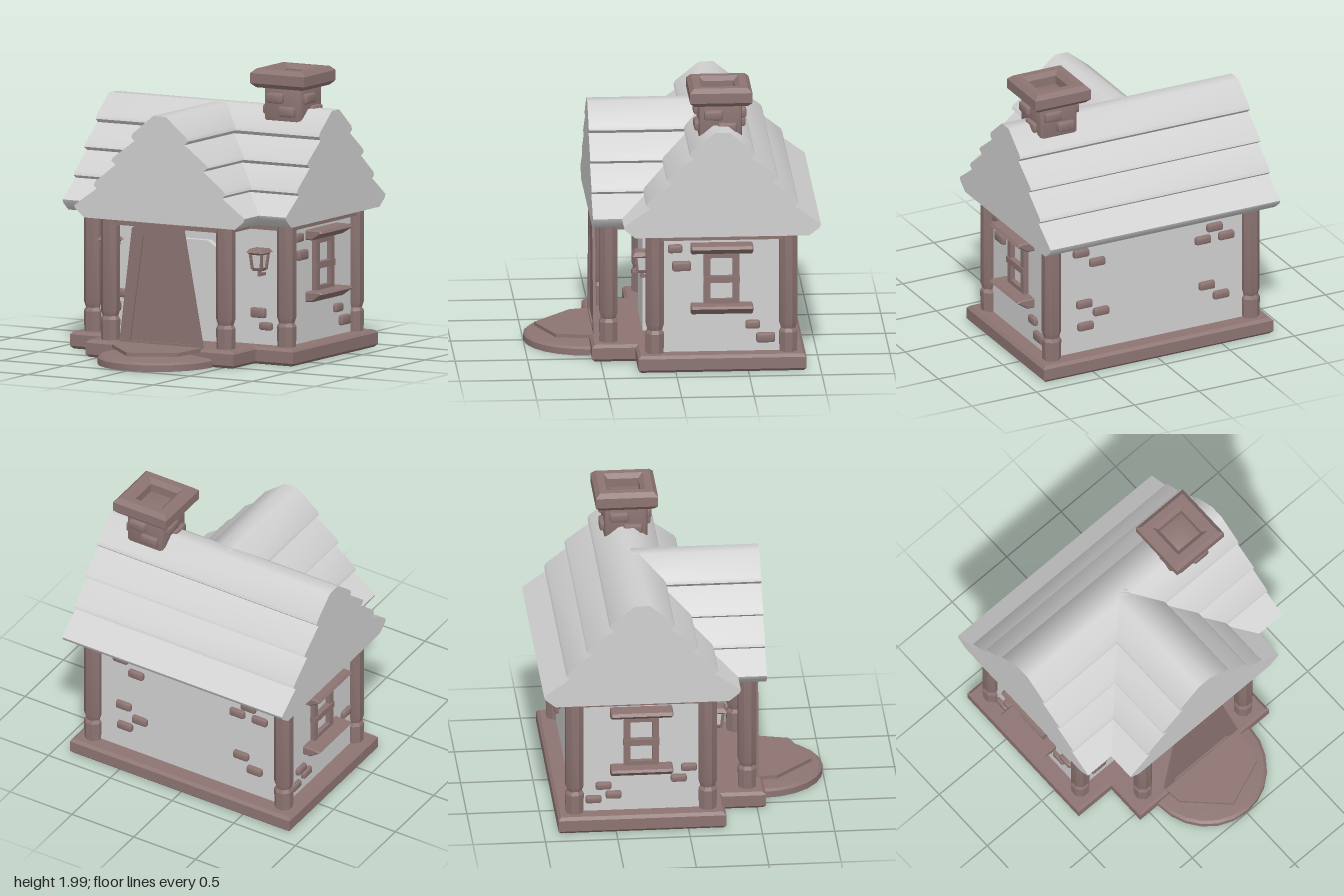
import * as THREE from 'three';
import { toCreasedNormals } from 'three/addons/utils/BufferGeometryUtils.js';
import { RoundedBoxGeometry } from 'three/addons/geometries/RoundedBoxGeometry.js';

export function createModel() {
  const house = new THREE.Group();
  house.name = 'cottage';
  const plaster = new THREE.MeshStandardMaterial({ color: 0xd0d0d0 });
  plaster.name = 'pale grey';
  const wood = new THREE.MeshStandardMaterial({ color: 0x8c7472 });
  wood.name = 'dusty brown';
  const woodSheet = wood;

  const add = (name, geo, mat, x = 0, y = 0, z = 0, parent = house) => {
    const m = new THREE.Mesh(geo, mat);
    m.name = name;
    m.position.set(x, y, z);
    parent.add(m);
    return m;
  };
  const box = (w, h, d) => new THREE.BoxGeometry(w, h, d);
  const soft = (w, h, d, r = 0.015) => toCreasedNormals(new RoundedBoxGeometry(w, h, d, 1, r), 0.5);
  const shape = (pts) => new THREE.Shape(pts.map(([x, y]) => new THREE.Vector2(x, y)));
  const extrude = (s, depth, bevel = 0) => new THREE.ExtrudeGeometry(s, {
    depth: depth - 2 * bevel, bevelEnabled: bevel > 0, bevelSize: bevel,
    bevelThickness: bevel, bevelOffset: -bevel, bevelSegments: 1,
  }).translate(0, 0, bevel);
  // plan shape given as (x, z), extruded upwards
  const slab = (pts, h, bevel = 0) => extrude(shape(pts.map(([x, z]) => [x, -z])), h, bevel).rotateX(-Math.PI / 2);

  // foundation with porch, and half-round step
  add('foundation', slab([[-0.89, -0.9], [-0.89, 0.26], [-0.59, 0.26], [-0.59, 0.56],
    [0.59, 0.56], [0.59, 0.26], [0.89, 0.26], [0.89, -0.9]], 0.12, 0.02), wood);
  const stepProfile = [[0, 0], [0.44, 0], [0.44, 0.045], [0.42, 0.06], [0, 0.1]].map(([r, y]) => new THREE.Vector2(r, y));
  const stepGeo = toCreasedNormals(new THREE.LatheGeometry(stepProfile, 12, -Math.PI / 2, Math.PI), 0.5);
  add('frontStep', stepGeo, wood, 0, 0, 0.56).scale.x = 0.96;

  // walls
  add('walls', box(1.55, 0.86, 0.92), plaster, 0, 0.54, -0.32);

  // stepped shingle roof: one profile for both wings
  const half = [[0.6, 0.97], [0.67, 1.025], [0.68, 1.05], [0.5, 1.18], [0.525, 1.2], [0.515, 1.225],
    [0.35, 1.355], [0.385, 1.38], [0.375, 1.4], [0.2, 1.53], [0.225, 1.555], [0.215, 1.58], [0.05, 1.715]];
  const gable = shape([...half, ...half.map(([x, y]) => [-x, y]).reverse()]);
  const mainRoof = extrude(gable, 1.78).translate(0, 0, -0.89).rotateY(Math.PI / 2);
  add('mainRoof', toCreasedNormals(mainRoof, 0.7), plaster, 0, 0, -0.32);
  add('porchRoof', toCreasedNormals(extrude(gable, 0.88), 0.7), plaster, 0, 0, -0.32);

  // turned posts
  const postProfile = [[0, 0.11], [0.06, 0.11], [0.063, 0.26], [0.05, 0.285], [0.062, 0.325], [0.062, 0.97], [0, 0.97]]
    .map(([r, y]) => new THREE.Vector2(r / Math.cos(Math.PI / 8), y));
  const postGeo = toCreasedNormals(new THREE.LatheGeometry(postProfile, 8).rotateY(Math.PI / 8), 0.3);
  for (const s of [-1, 1]) {
    for (const [x, z] of [[0.77, -0.78], [0.77, 0.14], [0.46, 0.44]]) add('post', postGeo, wood, s * x, 0, z);
    // beams under the eaves
    add('sideBeam', box(0.09, 0.045, 0.92), wood, s * 0.77, 0.948, -0.32);
    add('porchBeam', box(0.09, 0.045, 0.3), wood, s * 0.46, 0.948, 0.29);
  }
  add('backBeam', box(1.54, 0.045, 0.09), wood, 0, 0.948, -0.78);
  add('frontBeam', box(1.54, 0.045, 0.09), wood, 0, 0.948, 0.14);
  add('porchFrontBeam', box(0.92, 0.045, 0.09), wood, 0, 0.948, 0.44);

  // side windows
  const sill = (pts) => extrude(shape(pts), 0.43, 0.008).translate(0, 0, -0.215);
  const lowerSill = sill([[-0.02, 0.4], [0.045, 0.4], [0.125, 0.455], [0.11, 0.47], [-0.02, 0.47]]);
  const upperSill = sill([[-0.02, 0.83], [0.045, 0.83], [0.125, 0.88], [0.11, 0.9], [-0.02, 0.9]]);
  for (const s of [1, -1]) {
    const win = new THREE.Group();
    win.name = s > 0 ? 'leftWindow' : 'rightWindow';
    win.position.set(s * 0.78, 0, -0.32);
    win.rotation.y = s > 0 ? 0 : Math.PI;
    add('lowerSill', lowerSill, wood, 0, 0, 0, win);
    add('upperSill', upperSill, wood, 0, 0, 0, win);
    for (const z of [-0.1, 0.1]) add('windowJamb', box(0.05, 0.38, 0.045), wood, 0.005, 0.65, z, win);
    add('windowBar', box(0.06, 0.045, 0.25), wood, 0.008, 0.642, 0, win);
    for (const y of [0.485, 0.81]) add('windowRail', box(0.05, 0.03, 0.2), wood, 0.005, y, 0, win);
    house.add(win);
  }

  // exposed bricks: [along wall, y, width, height]
  const brick = (x, y, z, turn, w = 0.11, h = 0.055) => {
    add('brick', soft(w, h, 0.05), wood, x, y, z).rotation.y = turn;
  };
  for (const [z, y, w, h] of [[0, 0.86, 0.1, 0.06], [-0.045, 0.735, 0.13, 0.07], [-0.535, 0.31, 0.1, 0.06],
    [-0.625, 0.215, 0.13, 0.07]]) brick(0.78, y, z, Math.PI / 2, w, h);
  for (const [z, y] of [[-0.58, 0.31], [-0.65, 0.21], [-0.51, 0.24], [0.01, 0.43], [-0.06, 0.35]]) {
    brick(-0.78, y, z, Math.PI / 2);
  }
  for (const [x, y] of [[0.545, 0.87], [0.42, 0.78], [0.52, 0.48], [0.39, 0.4], [0.51, 0.31], [-0.4, 0.77],
    [-0.49, 0.85], [-0.58, 0.77], [-0.43, 0.42], [-0.54, 0.33]]) brick(x, y, -0.785, 0, 0.12, 0.06);
  for (const [x, y, w, h] of [[-0.615, 0.31, 0.13, 0.07], [-0.55, 0.4, 0.12, 0.06], [0.55, 0.34, 0.12, 0.07],
    [0.61, 0.25, 0.1, 0.055]]) brick(x, y, 0.145, 0, w, h);

  // lanterns on the front wall
  const frustum = (top, bottom, h) => toCreasedNormals(
    new THREE.CylinderGeometry(top * Math.SQRT1_2, bottom * Math.SQRT1_2, h, 4).rotateY(Math.PI / 4), 0.3);
  for (const s of [-1, 1]) {
    const lamp = new THREE.Group();
    lamp.name = 'lantern';
    lamp.position.set(s * 0.595, 0, 0.215);
    add('lanternCap', frustum(0.1, 0.14, 0.025), wood, 0, 0.785, 0, lamp);
    add('lanternCollar', frustum(0.12, 0.1, 0.015), wood, 0, 0.765, 0, lamp);
    add('lanternGlass', frustum(0.07, 0.05, 0.1), plaster, 0, 0.71, 0, lamp);
    add('lanternFoot', frustum(0.085, 0.07, 0.02), wood, 0, 0.655, 0, lamp);
    add('lanternStem', box(0.02, 0.045, 0.02), wood, 0, 0.627, 0, lamp);
    add('lanternBracket', box(0.02, 0.02, 0.1), wood, 0, 0.615, -0.04, lamp);
    for (const x of [-1, 1]) for (const z of [-1, 1]) {
      const bar = add('lanternBar', box(0.016, 0.11, 0.016), wood, x * 0.04, 0.71, z * 0.04, lamp);
      bar.rotation.set(z * 0.1, 0, -x * 0.1);
    }
    house.add(lamp);
  }

  // inner doorway on the wall
  add('doorway', extrude(shape([[-0.24, 0.12], [0.24, 0.12], [0.23, 0.78], [0.17, 0.82], [-0.17, 0.82], [-0.23, 0.78]]), 0.05),
    plaster, 0, 0, 0.14);

  // leaning door surround with a triangular recess
  const surround = shape([[-0.335, 0.12], [0.33, 0.12], [0.17, 0.96], [-0.18, 0.965], [-0.235, 0.92]]);
  const recess = [[-0.25, 0.14], [-0.145, 0.88], [0.245, 0.14]];
  surround.holes.push(shape(recess));
  add('doorSurround', extrude(surround, 0.02), wood, 0, 0, 0.515);
  add('doorPanel', extrude(shape(recess), 0.008), woodSheet, 0, 0, 0.515);

  // threshold plate above the step
  const threshold = slab([[-0.335, 0], [-0.32, 0.13], [-0.05, 0.39], [0.28, 0.26], [0.33, 0]], 0.025);
  add('threshold', threshold, wood, 0, 0.1, 0.53).rotation.x = 0.03;

  // chimney
  const chimney = new THREE.Group();
  chimney.name = 'chimney';
  chimney.position.set(0.55, 0, -0.32);
  add('chimneyShaft', soft(0.3, 0.3, 0.3, 0.03), wood, 0, 1.75, 0, chimney);
  const cap = shape([[-0.215, -0.215], [0.215, -0.215], [0.215, 0.215], [-0.215, 0.215]]);
  cap.holes.push(shape([[-0.105, -0.105], [-0.105, 0.105], [0.105, 0.105], [0.105, -0.105]]));
  const capGeo = new THREE.ExtrudeGeometry(cap, { depth: 0.07, bevelSize: 0.03, bevelThickness: 0.03, bevelOffset: -0.03, bevelSegments: 1 });
  add('chimneyCap', capGeo.rotateX(-Math.PI / 2), wood, 0, 1.89, 0, chimney);
  for (let i = 0; i < 4; i++) {
    const face = new THREE.Group();
    face.name = 'chimneyBricks';
    face.rotation.y = i * Math.PI / 2;
    add('brick', soft(0.13, 0.07, 0.06), wood, -0.05, 1.79, 0.15, face);
    add('brick', soft(0.13, 0.07, 0.06), wood, 0.045, 1.7, 0.15, face);
    chimney.add(face);
  }
  house.add(chimney);
  return house;
}
